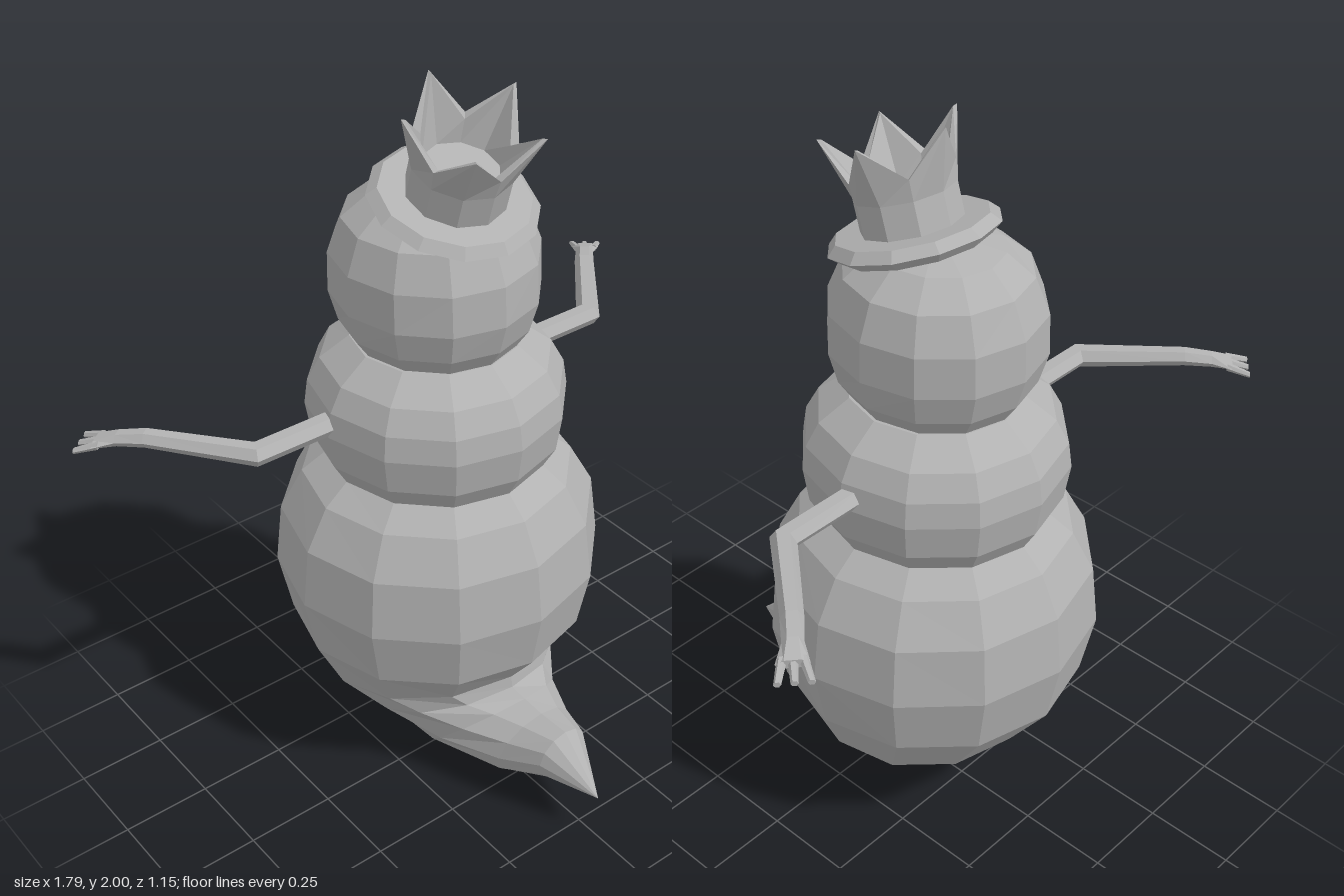
import * as THREE from 'three';

const SIDES = 12;
const V = (x, y, z) => new THREE.Vector3(x, y, z);

// Skins a series of equal-length rings, closes both ends, and keeps faces outward
function loft(rings) {
  const tris = [];
  const n = rings[0].length;
  for (let r = 0; r < rings.length - 1; r++) {
    for (let i = 0; i < n; i++) {
      const j = (i + 1) % n;
      const a = rings[r][i], b = rings[r][j], c = rings[r + 1][j], d = rings[r + 1][i];
      tris.push([a, b, c], [a, c, d]);
    }
  }
  const centre = ring => ring.reduce((s, p) => s.add(p), V(0, 0, 0)).divideScalar(n);
  const first = rings[0], last = rings[rings.length - 1];
  const c0 = centre(first), c1 = centre(last);
  for (let i = 0; i < n; i++) {
    const j = (i + 1) % n;
    tris.push([c0, first[j], first[i]], [c1, last[i], last[j]]);
  }
  const solid = tris.filter(([a, b, c]) =>
    b.clone().sub(a).cross(c.clone().sub(a)).length() > 1e-9);
  const volume = solid.reduce((s, [a, b, c]) => s + a.dot(b.clone().cross(c)), 0);
  const points = solid.flatMap(([a, b, c]) => (volume < 0 ? [a, c, b] : [a, b, c]));
  const geometry = new THREE.BufferGeometry().setFromPoints(points);
  geometry.computeVertexNormals();
  return geometry;
}

// Ring spanning a front point and a back point, each [y, z], with half width rx
function spanRing(front, back, rx) {
  return Array.from({ length: SIDES }, (_, i) => {
    const t = (i / SIDES) * Math.PI * 2;
    const k = (1 + Math.cos(t)) / 2;
    return V(rx * Math.sin(t),
      back[0] + (front[0] - back[0]) * k,
      back[1] + (front[1] - back[1]) * k);
  });
}

// Level ring round the vertical axis at depth z
const levelRing = (y, r, z = 0, rz = r) => spanRing([y, z + rz], [y, z - rz], r);

export function createModel() {
  const model = new THREE.Group();
  const grey = new THREE.MeshStandardMaterial({ color: 0xb2b2b2, flatShading: true });
  grey.name = 'grey';
  const add = (parent, name, geometry) => {
    const mesh = new THREE.Mesh(geometry, grey);
    mesh.name = name;
    parent.add(mesh);
    return mesh;
  };

  // Lower body, sweeping forward into a pointed tail
  const z = -0.128;
  add(model, 'lowerBody', loft([
    levelRing(0.94, 0.3, z, 0.305),
    levelRing(0.885, 0.37, z, 0.37),
    levelRing(0.77, 0.435, z, 0.428),
    levelRing(0.6, 0.455, z, 0.447),
    spanRing([0.43, 0.285], [0.42, -0.54], 0.42),
    spanRing([0.32, 0.2], [0.25, -0.42], 0.355),
    spanRing([0.285, 0.205], [0.12, -0.24], 0.275),
    spanRing([0.28, 0.26], [0, -0.02], 0.19),
    spanRing([0.275, 0.33], [0.04, 0.27], 0.125),
    spanRing([0.28, 0.43], [0.11, 0.41], 0.08),
    spanRing([0.14, 0.572], [0.14, 0.572], 0),
  ]));

  // Upper body and head
  const ball = profile => loft(profile.map(([y, rx, rz]) => levelRing(y, rx, z, rz)));
  add(model, 'upperBody', ball([
    [0.93, 0.295, 0.3], [1.0, 0.335, 0.34], [1.1, 0.35, 0.355],
    [1.17, 0.34, 0.345], [1.235, 0.305, 0.31], [1.295, 0.225, 0.23],
  ]));
  add(model, 'head', ball([
    [1.285, 0.21, 0.22], [1.345, 0.25, 0.26], [1.43, 0.272, 0.285],
    [1.54, 0.27, 0.28], [1.635, 0.235, 0.24], [1.695, 0.16, 0.17], [1.72, 0.05, 0.05],
  ]));

  // Tilted hat
  const hat = new THREE.Group();
  hat.name = 'hat';
  hat.position.set(0, 1.695, -0.05);
  hat.rotation.x = 0.3;
  model.add(hat);
  add(hat, 'hatBrim', loft([
    levelRing(-0.025, 0.19), levelRing(0, 0.22), levelRing(0.025, 0.195), levelRing(0.025, 0.11),
  ]));

  // Hat crown with five flared points and a sunken top; even steps are points
  const crownRing = (tipH, tipR, dipH = tipH, dipR = tipR) =>
    Array.from({ length: 10 }, (_, i) => {
      const a = Math.PI + (i / 10) * Math.PI * 2;
      const [h, r] = i % 2 ? [dipH, dipR] : [tipH, tipR];
      return V(r * Math.sin(a), h, r * Math.cos(a));
    });
  add(hat, 'hatCrown', loft([
    crownRing(0, 0.13),
    crownRing(0.11, 0.13),
    crownRing(0.265, 0.182, 0.165, 0.137),
    crownRing(0.262, 0.17, 0.16, 0.115),
    crownRing(0.1, 0.1),
  ]));

  // Arms: hexagonal sections along a bent path, mirrored left and right
  for (const side of [1, -1]) {
    const arm = new THREE.Group();
    arm.name = side > 0 ? 'leftArm' : 'rightArm';
    model.add(arm);
    const section = (x, y, zc, angle, w, h) =>
      Array.from({ length: 6 }, (_, i) => {
        const t = (i / 6) * Math.PI * 2;
        const across = w * Math.cos(t);
        return V(side * (x + across * Math.sin(angle)), y + h * Math.sin(t),
          zc + across * Math.cos(angle));
      });
    const bend = 0.875;
    add(arm, 'armLimb', loft([
      section(0.3, 1.128, -0.147, 0, 0.033, 0.03),
      section(0.555, 1.128, -0.147, bend / 2, 0.036, 0.03),
      section(0.74, 1.138, -0.37, bend, 0.028, 0.024),
      section(0.79, 1.13, -0.425, bend, 0.026, 0.02),
      section(0.83, 1.118, -0.465, bend, 0.04, 0.013),
    ]));

    // Three spread fingers
    for (const k of [-1, 0, 1]) {
      const s = Math.sin(bend), c = Math.cos(bend);
      add(arm, 'finger', loft([
        section(0.82 + k * 0.024 * s, 1.12, -0.455 + k * 0.024 * c, bend, 0.012, 0.012),
        section(0.86 + k * 0.038 * s, 1.104, -0.502 + k * 0.038 * c, bend, 0.009, 0.008),
      ]));
    }
  }
  return model;
}
